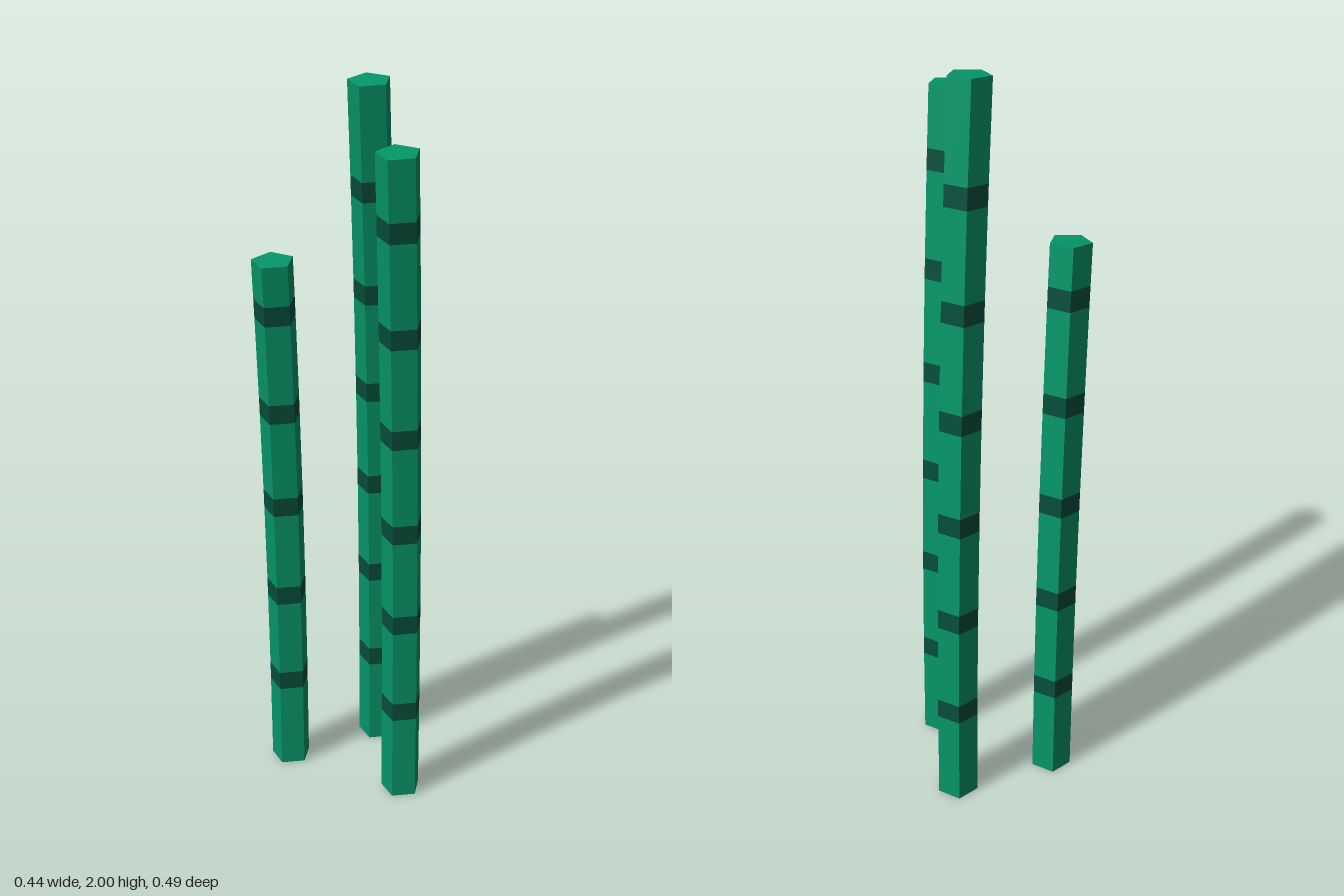
import * as THREE from 'three';

const RADIUS = 0.056;
const SIDES = 5;
const BAND = 0.055;            // height of a dark node
const LEAN = { x: -0.0233, z: 0.029 }; // sideways drift per height squared
const TILT = 0.65;             // how far cross-sections follow the lean

const green = new THREE.MeshStandardMaterial({ color: 0x059669, flatShading: true });
const darkGreen = new THREE.MeshStandardMaterial({ color: 0x064e3b, flatShading: true });

// Bend an upright stalk piece along the shared parabola
function bend(geometry) {
  const p = geometry.attributes.position;
  for (let i = 0; i < p.count; i++) {
    const x = p.getX(i), y = p.getY(i), z = p.getZ(i);
    const drop = TILT * 2 * y * (LEAN.x * x + LEAN.z * z);
    p.setXYZ(i, x + LEAN.x * y * y, y - drop, z + LEAN.z * y * y);
  }
  geometry.computeVertexNormals();
  return geometry;
}

function addPart(stalk, name, geometry, material) {
  const mesh = new THREE.Mesh(bend(geometry), material);
  mesh.name = name;
  stalk.add(mesh);
}

// Open five-sided tube between two heights, one corner facing +x
function tube(y0, y1) {
  return new THREE.CylinderGeometry(RADIUS, RADIUS, y1 - y0, SIDES, 1, true, Math.PI / 2)
    .translate(0, (y0 + y1) / 2, 0);
}

// End cap facing up (1) or down (-1)
function cap(y, up) {
  return new THREE.CircleGeometry(RADIUS, SIDES)
    .rotateX(-up * Math.PI / 2).translate(0, y, 0);
}

function createStalk(height, step) {
  const stalk = new THREE.Group();
  let y = 0;
  // Alternate green lengths and dark nodes
  for (let node = step; node + BAND < height; node += step) {
    addPart(stalk, 'stalkSegment', tube(y, node - BAND / 2), green);
    addPart(stalk, 'stalkNode', tube(node - BAND / 2, node + BAND / 2), darkGreen);
    y = node + BAND / 2;
  }
  addPart(stalk, 'stalkSegment', tube(y, height), green);
  addPart(stalk, 'stalkTop', cap(height, 1), green);
  addPart(stalk, 'stalkBottom', cap(0, -1), green);
  return stalk;
}

export function createModel() {
  const model = new THREE.Group();
  model.name = 'stalkCluster';
  const stalks = [
    { name: 'tallStalk', x: 0.164, z: -0.197, height: 1.994, step: 0.286 },
    { name: 'frontStalk', x: 0.093, z: 0.088, height: 1.888, step: 0.2835 },
    { name: 'shortStalk', x: -0.121, z: -0.197, height: 1.555, step: 0.2835 },
  ];
  for (const s of stalks) {
    const stalk = createStalk(s.height, s.step);
    stalk.name = s.name;
    stalk.position.set(s.x, 0, s.z);
    model.add(stalk);
  }
  return model;
}
